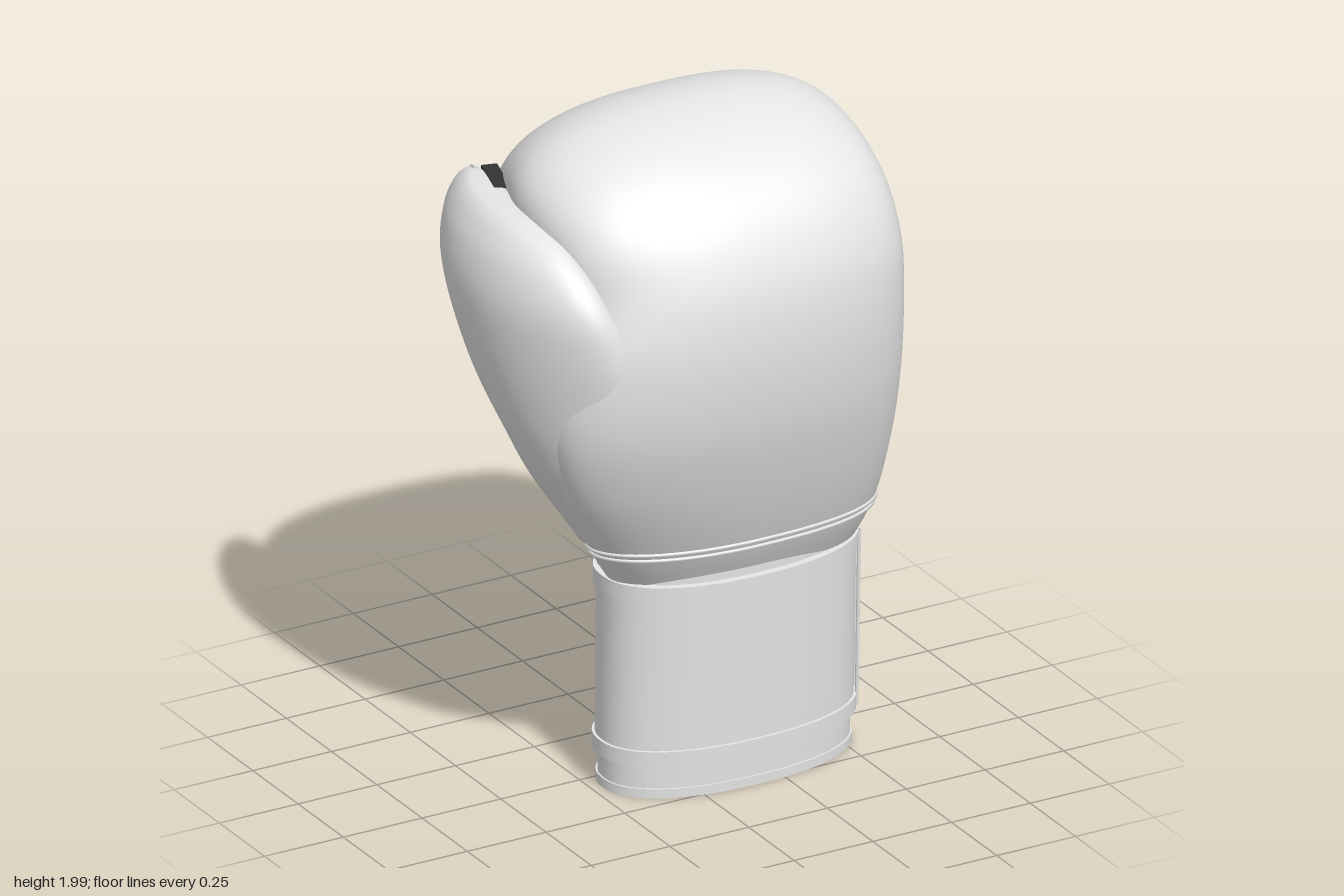
import * as THREE from 'three';

const leather = new THREE.MeshStandardMaterial({ color: 0xe6e6e6, side: THREE.DoubleSide });
leather.name = 'light grey leather';
const webbing = new THREE.MeshStandardMaterial({ color: 0x333333 });
webbing.name = 'dark webbing';

const V = (x, y, z) => new THREE.Vector3(x, y, z);
const spline = (pts) => new THREE.CatmullRomCurve3(pts, false, 'catmullrom', 0.5);
const power = (v, n) => Math.sign(v) * Math.abs(v) ** (2 / n);
const clamp01 = (v) => THREE.MathUtils.clamp(v, 0, 1);

// Skin a surface over a list of rings; optional end caps
function loft(rings, closed = true, caps = true) {
  const m = rings[0].length, pos = [], idx = [];
  rings.forEach((r) => r.forEach((p) => pos.push(p.x, p.y, p.z)));
  for (let i = 0; i < rings.length - 1; i++) {
    for (let j = 0; j < (closed ? m : m - 1); j++) {
      const a = i * m + j, b = i * m + (j + 1) % m;
      idx.push(a, a + m, b, b, a + m, b + m);
    }
  }
  if (caps) {
    [0, rings.length - 1].forEach((i) => {
      const c = rings[i].reduce((s, p) => s.add(p), V(0, 0, 0)).divideScalar(m);
      const k = pos.length / 3;
      pos.push(c.x, c.y, c.z);
      for (let j = 0; j < m; j++) {
        const a = i * m + j, b = i * m + (j + 1) % m;
        if (i === 0) idx.push(k, a, b); else idx.push(k, b, a);
      }
    });
  }
  const g = new THREE.BufferGeometry();
  g.setAttribute('position', new THREE.Float32BufferAttribute(pos, 3));
  g.setIndex(idx);
  g.computeVertexNormals();
  return g;
}

// Sample a point function f(s, angle) into a closed lofted skin
function skin(f, rows, cols) {
  const rings = [];
  for (let i = 0; i <= rows; i++) {
    rings.push(Array.from({ length: cols }, (_, j) => f(i / rows, (j / cols) * Math.PI * 2)));
  }
  return loft(rings);
}

// Padded mitt: back edge (y, z), palm edge (y, z), right side x, left side x
const mittRows = [
  [0.62, 0.25, 0.62, -0.05, -0.195, 0.525], [0.78, 0.335, 0.78, -0.04, -0.30, 0.575],
  [1.0, 0.42, 0.98, 0.0, -0.415, 0.59], [1.22, 0.48, 1.18, 0.01, -0.475, 0.595],
  [1.45, 0.5, 1.38, 0.02, -0.46, 0.595], [1.65, 0.47, 1.47, 0.035, -0.405, 0.595],
  [1.83, 0.37, 1.52, 0.02, -0.42, 0.59], [1.95, 0.2, 1.535, -0.03, -0.44, 0.585],
  [2.0, 0.0, 1.54, -0.07, -0.435, 0.575], [1.97, -0.18, 1.535, -0.11, -0.40, 0.555],
  [1.865, -0.35, 1.52, -0.15, -0.36, 0.54], [1.71, -0.46, 1.47, -0.185, -0.34, 0.515],
  [1.53, -0.5, 1.39, -0.2, -0.33, 0.505], [1.38, -0.465, 1.31, -0.205, -0.32, 0.495],
  [1.27, -0.39, 1.25, -0.22, -0.29, 0.475], [1.222, -0.315, 1.225, -0.265, -0.21, 0.41],
];
const outer = spline(mittRows.map((r) => V(0, r[0], r[1])));
const inner = spline(mittRows.map((r) => V(0, r[2], r[3])));
const sides = spline(mittRows.map((r) => V(r[4], r[5], 0)));
function mittPoint(s, a) {
  const o = outer.getPoint(s), i = inner.getPoint(s), w = sides.getPoint(s);
  const fist = clamp01((s - 0.3) / 0.15);
  const n = Math.cos(a) < 0 ? 2 + 0.3 * fist : 2.6 + 0.3 * fist;
  const p = o.clone().add(i).multiplyScalar(0.5);
  p.addScaledVector(o.sub(i), 0.5 * power(Math.sin(a), n));
  p.x = (w.x + w.y) / 2 + ((w.y - w.x) / 2) * power(Math.cos(a), n);
  return p;
}

// Upright pads from rows of y, x min, x max, z back, z front
function pad(rows, n, bend) {
  const lo = spline(rows.map((r) => V(r[1], r[0], r[3])));
  const hi = spline(rows.map((r) => V(r[2], r[0], r[4])));
  return (s, a) => {
    const l = lo.getPoint(s), h = hi.getPoint(s);
    const z = (l.z + h.z) / 2 + ((h.z - l.z) / 2) * power(Math.sin(a), n);
    const x = (l.x + h.x) / 2 + ((h.x - l.x) / 2) * power(Math.cos(a), n);
    return V(x + bend * z * z, l.y, z);
  };
}
const thumbPoint = pad([
  [0.78, -0.30, 0.0, -0.04, 0.28], [1.0, -0.45, -0.02, -0.08, 0.36],
  [1.15, -0.52, -0.06, -0.13, 0.39], [1.3, -0.565, -0.16, -0.24, 0.405],
  [1.45, -0.592, -0.26, -0.34, 0.405], [1.58, -0.6, -0.33, -0.41, 0.38],
  [1.68, -0.58, -0.36, -0.415, 0.31], [1.745, -0.545, -0.38, -0.38, 0.21],
  [1.778, -0.51, -0.41, -0.31, 0.08], [1.785, -0.48, -0.45, -0.22, -0.04],
], 2.2, 0.5);
const palmPoint = pad([
  [0.64, -0.2, 0.53, -0.09, 0.2], [0.8, -0.24, 0.545, -0.105, 0.2],
  [0.95, -0.26, 0.545, -0.12, 0.2], [1.1, -0.27, 0.535, -0.105, 0.2],
  [1.22, -0.28, 0.515, -0.045, 0.2], [1.35, -0.28, 0.48, 0.005, 0.2],
  [1.54, -0.28, 0.42, 0.04, 0.2],
], 2.7, 0);

// Find the palm surface behind a given x, y
const palmLevels = Array.from({ length: 301 }, (_, i) => palmPoint(i / 300, 0).y);
function onPalm(x, y) {
  const i = palmLevels.findIndex((level) => level >= y);
  const l = palmPoint(i / 300, Math.PI), r = palmPoint(i / 300, 0);
  const u = (2 * x - l.x - r.x) / (r.x - l.x);
  const a = -Math.acos(power(u, 4 / 2.7));
  return V(x, y, palmPoint(i / 300, a).z - 0.002);
}

// Oval wrist section
function cuffPoint(a, y, off) {
  const front = 0.258 + 0.04 * y, back = -0.112;
  return V(0.165 + (0.374 + off) * power(Math.cos(a), 2.25), y,
    (front + back) / 2 + ((front - back) / 2 + off) * power(Math.sin(a), 2.25));
}
// Raised band around the wrist with crisp edges
function band(y0, y1, off, base = 0, a0 = 0, a1 = Math.PI * 2) {
  const ring = (y, o) => Array.from({ length: 97 }, (_, j) => cuffPoint(a0 + ((a1 - a0) * j) / 96, y, o));
  return loft([ring(y0, base), ring(y0, off), ring(y0, off), ring(y1, off), ring(y1, off), ring(y1, base)], false, false);
}

export function createModel() {
  const glove = new THREE.Group();
  glove.name = 'boxingGlove';
  const add = (name, geo, mat = leather) => {
    const m = new THREE.Mesh(geo, mat);
    m.name = name;
    glove.add(m);
    return m;
  };
  const cord = (name, pts, r = 0.005) =>
    add(name, new THREE.TubeGeometry(spline(pts), pts.length * 4, r, 6));
  const trace = (name, f, count, r) =>
    cord(name, Array.from({ length: count + 1 }, (_, i) => f(i / count)), r);

  // Main pads
  add('mitt', skin(mittPoint, 120, 80));
  add('thumb', skin(thumbPoint, 60, 56));
  add('palm', skin(palmPoint, 40, 64));

  // Seams on the pads; the outer one runs nearer the palm along the hand
  trace('outerSideSeam', (t) => {
    const s = (0.6 + 13.7 * t) / 15;
    return mittPoint(s, -0.23 - 0.35 * clamp01((0.45 - s) / 0.15));
  }, 44);
  trace('innerSideSeam', (t) => mittPoint((7 + 7.3 * t) / 15, Math.PI + 0.23), 24);
  trace('thumbSeam', (t) => thumbPoint(0.1 + 0.8 * t, -1.45), 28);
  [0.91, 1.03].forEach((k) => trace('wristPiping', (t) => mittPoint(k / 15, -0.5 + (Math.PI + 0.6) * t), 44, 0.007));

  // Palm vent rim, lacing panel and grip seam
  const mid = 0.16;
  const arch = (name, half, low, top, r) => {
    const pts = [[-half * 0.45, low], [-half * 0.75, low + 0.18], [-half, top - 0.12], [-half * 0.7, top - 0.03],
      [0, top], [half * 0.7, top - 0.03], [half, top - 0.12], [half * 0.75, low + 0.18], [half * 0.45, low]];
    cord(name, pts.map(([x, y]) => onPalm(mid + x, y)), r);
  };
  arch('ventRim', 0.05, 0.645, 1.1, 0.01);
  arch('ventStitching', 0.078, 0.645, 1.14, 0.005);
  arch('lacingPanelEdge', 0.14, 0.645, 1.2, 0.007);
  [-1, 1].forEach((s) => [0.82, 0.97].forEach((y) =>
    cord('panelRung', [0.07, 0.095, 0.12].map((x) => onPalm(mid + s * x, y)), 0.005)));
  cord('gripSeam', [-0.12, 0, 0.12, 0.24, 0.36].map((x) => onPalm(x, 1.3)), 0.008);

  // Wrist cuff, split at the back below the strap
  const gap = [-Math.PI / 2 + 0.04, Math.PI * 1.5 - 0.04];
  add('cuffLining', band(0.11, 0.7, 0, -0.004));
  add('cuffSkirt', band(0.008, 0.12, 0.005, 0, ...gap));
  add('cuffHem', band(0.008, 0.036, 0.01, 0, ...gap));

  // Wrapped strap with raised borders and an overlapping end
  add('strap', band(0.11, 0.66, 0.013));
  add('strapLowerBorder', band(0.11, 0.155, 0.021));
  add('strapUpperBorder', band(0.615, 0.66, 0.021));
  add('strapEnd', band(0.112, 0.658, 0.024, 0.01, 0.14, 0.34));
  [0.14, 0.34].forEach((a) => trace('strapEndEdge', (t) => cuffPoint(a, 0.118 + 0.535 * t, 0.022), 8, 0.006));

  // Short tether between thumb and fist
  const tether = add('thumbTether', new THREE.BoxGeometry(0.045, 0.12, 0.15), webbing);
  tether.position.set(-0.387, 1.725, -0.225);
  tether.rotation.y = -0.28;

  return glove;
}
